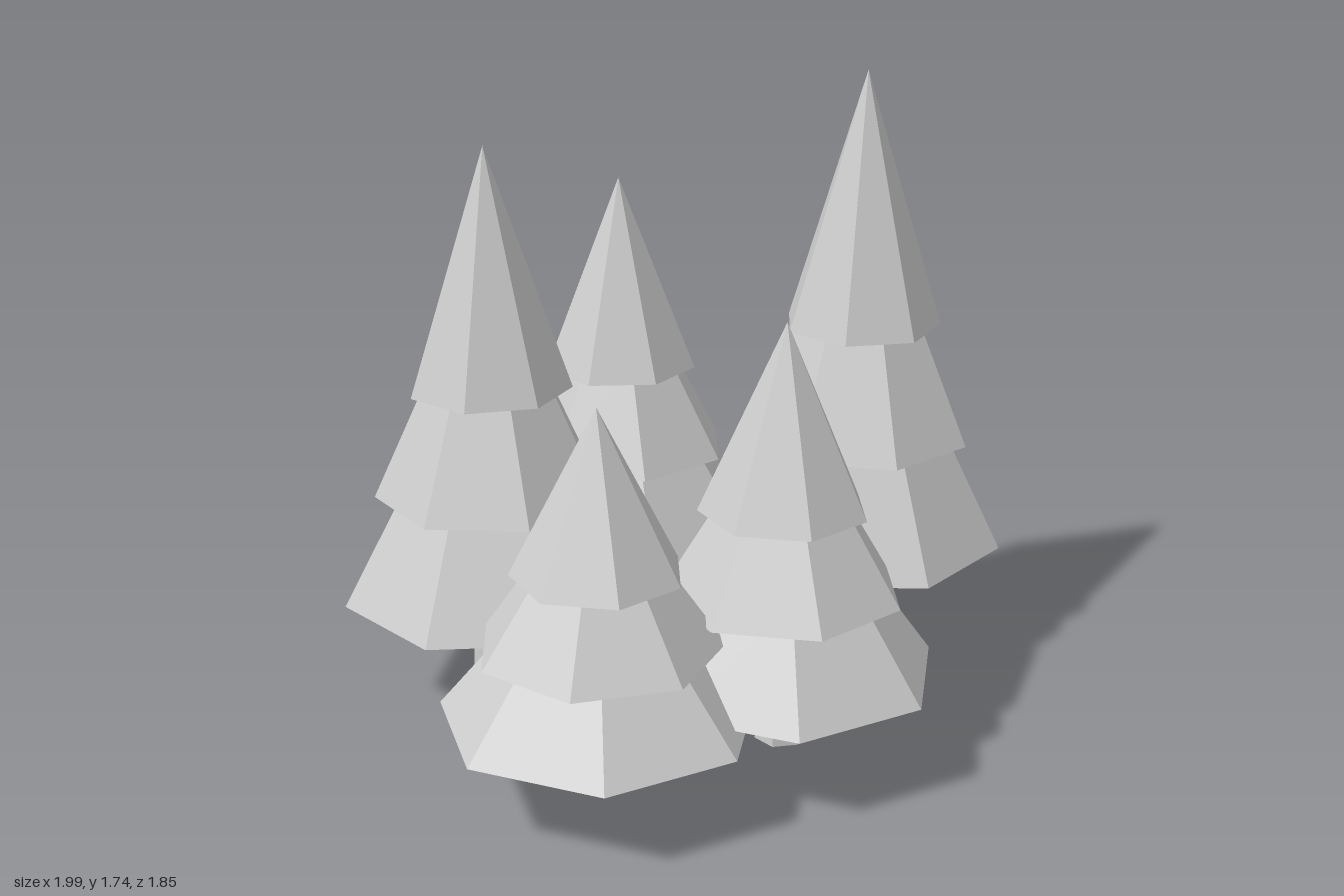
import * as THREE from 'three';
import { ConvexGeometry } from 'three/addons/geometries/ConvexGeometry.js';

const stone = new THREE.MeshStandardMaterial({ color: 0xcccccc, flatShading: true });
stone.name = 'light grey';

const GROUND = 0.06;

// Seven-sided cone or frustum with one corner at the given angle (degrees from +x towards +z)
function tier(name, rTop, rBottom, y0, y1, angle) {
  const start = THREE.MathUtils.degToRad(90 - angle);
  const geo = new THREE.CylinderGeometry(rTop, rBottom, y1 - y0, 7, 1, false, start);
  geo.translate(0, (y0 + y1) / 2, 0);
  const mesh = new THREE.Mesh(geo, stone);
  mesh.name = name;
  return mesh;
}

// Only the height varies from tree to tree; widths stay the same
function makeTree(name, x, z, h, angles) {
  const tree = new THREE.Group();
  tree.name = name;
  const trunkGeo = new THREE.CylinderGeometry(0.058, 0.07, 0.3 * h, 6);
  trunkGeo.translate(0, 0.15 * h, 0);
  const trunk = new THREE.Mesh(trunkGeo, stone);
  trunk.name = 'trunk';
  // Each lower tier runs a little way up inside the one above
  tree.add(
    trunk,
    tier('lowerBranches', 0.225, 0.425, 0.295 * h, 0.695 * h, angles[0]),
    tier('middleBranches', 0.155, 0.325, 0.62 * h, 1.02 * h, angles[1]),
    tier('treeTop', 0, 0.227, 0.95 * h, 1.68 * h, angles[2])
  );
  tree.position.set(x, GROUND, z);
  return tree;
}

export function createModel() {
  const model = new THREE.Group();
  model.name = 'pineGrove';

  // Trees: name, x, z, height factor, corner angles from the lowest tier up
  const trees = [
    ['tallTree', 0.57, 0.15, 1, [3.5, 13, -8]],
    ['backRightTree', -0.43, -0.28, 0.917, [-2, 6, -11]],
    ['backLeftTree', 0.21, -0.5, 0.783, [13, 14, -1]],
    ['frontTree', -0.07, 0.51, 0.696, [24.5, 13, 13]],
    ['smallTree', -0.575, 0.365, 0.607, [24.7, -12.9, 13]],
  ];
  for (const t of trees) model.add(makeTree(...t));

  // Faceted boulder with a flattened base
  const corners = [
    [0.96, 0.2, -0.46], [0.76, 0.325, -0.45], [0.75, 0.19, -0.285], [0.76, 0.23, -0.635],
    [0.87, 0, -0.57], [0.87, 0, -0.395], [0.6, 0.03, -0.69], [0.67, 0.035, -0.295],
    [0.48, 0.03, -0.49], [0.54, 0.24, -0.37], [0.54, 0.24, -0.58],
  ];
  const rock = new THREE.Mesh(
    new ConvexGeometry(corners.map((c) => new THREE.Vector3(...c))), stone);
  rock.name = 'boulder';
  model.add(rock);
  return model;
}
